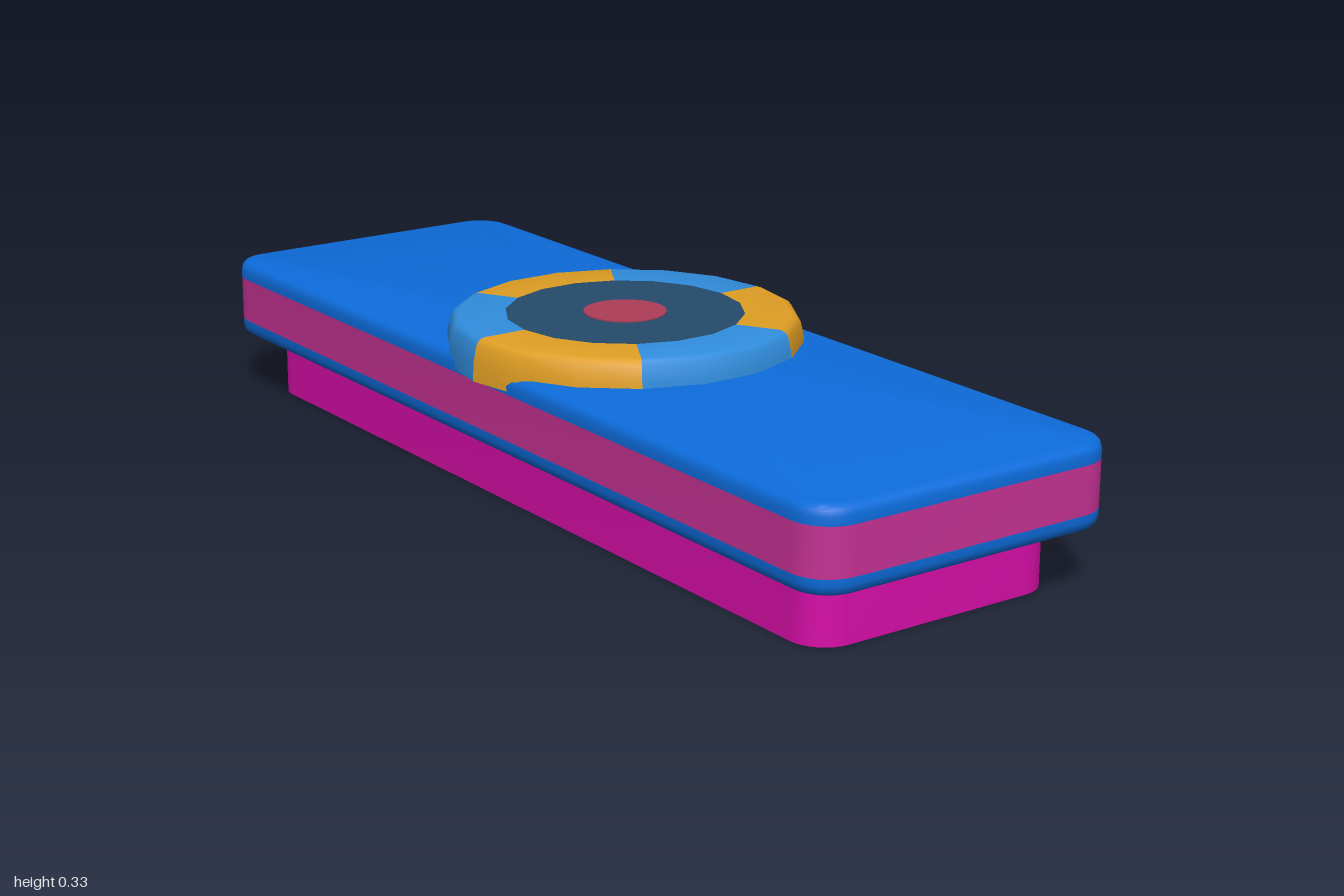
import * as THREE from 'three';
import { toCreasedNormals } from 'three/addons/utils/BufferGeometryUtils.js';

const material = (name, color, side = THREE.FrontSide) => {
  const m = new THREE.MeshStandardMaterial({ color, side });
  m.name = name;
  return m;
};

// Points of a rounded rectangle, anticlockwise from above
function roundedLoop(hx, hz, r, y, steps = 8) {
  const loop = [];
  for (let corner = 0; corner < 4; corner++) {
    const sx = corner === 0 || corner === 3 ? 1 : -1;
    const sz = corner < 2 ? -1 : 1;
    for (let i = 0; i <= steps; i++) {
      const a = (corner + i / steps) * Math.PI / 2;
      loop.push([sx * (hx - r) + r * Math.cos(a), y, sz * (hz - r) - r * Math.sin(a)]);
    }
  }
  return loop;
}

// Skin a stack of [inset, y] sections, with optional end caps
function loft(hx, hz, r, sections, capBottom = false, capTop = false) {
  const loops = sections.map(([d, y]) => roundedLoop(hx - d, hz - d, r - d, y));
  const n = loops[0].length;
  const pos = [];
  const tri = (a, b, c) => pos.push(...a, ...b, ...c);
  for (let s = 0; s < loops.length - 1; s++) {
    for (let i = 0; i < n; i++) {
      const j = (i + 1) % n, lo = loops[s], hi = loops[s + 1];
      tri(lo[i], lo[j], hi[j]);
      tri(lo[i], hi[j], hi[i]);
    }
  }
  const last = loops[loops.length - 1];
  for (let i = 0; i < n; i++) {
    const j = (i + 1) % n;
    if (capBottom) tri([0, sections[0][1], 0], loops[0][j], loops[0][i]);
    if (capTop) tri([0, last[0][1], 0], last[i], last[j]);
  }
  const g = new THREE.BufferGeometry();
  g.setAttribute('position', new THREE.Float32BufferAttribute(pos, 3));
  return toCreasedNormals(g, 0.7);
}

export function createModel() {
  const group = new THREE.Group();
  const blue = material('body blue', 0x0d6cdb);
  const plum = material('band plum', 0xc63294);
  const magenta = material('skirt magenta', 0xd80ea8, THREE.DoubleSide);
  const amber = material('ring amber', 0xdf9e24);
  const sky = material('ring sky blue', 0x318ddd);
  const navy = material('disc navy', 0x254a6b);
  const red = material('hub red', 0xad3c58);
  const add = (name, geometry, mat, y = 0) => {
    const mesh = new THREE.Mesh(geometry, mat);
    mesh.name = name;
    mesh.position.y = y;
    group.add(mesh);
  };

  // Open-bottomed skirt
  add('skirt', loft(0.922, 0.268, 0.07, [[0, 0], [0, 0.125]]), magenta);

  // Slab with rounded rims and a coloured band around it
  const hx = 1, hz = 0.329, r = 0.075;
  add('lowerRim', loft(hx, hz, r,
    [[0.02, 0.123], [0.009, 0.126], [0.003, 0.132], [0, 0.143], [0, 0.156]], true), blue);
  add('sideBand', loft(hx, hz, r, [[0, 0.156], [0, 0.246]]), plum);
  add('upperRim', loft(hx, hz, r,
    [[0, 0.246], [0, 0.262], [0.003, 0.272], [0.009, 0.278], [0.02, 0.281]], false, true), blue);

  // Six-part ring in alternating colours
  const profile = [
    [0.23, 0.252], [0.345, 0.252], [0.343, 0.29], [0.336, 0.32],
    [0.33, 0.329], [0.32, 0.333], [0.23, 0.333],
  ].map(([x, y]) => new THREE.Vector2(x, y));
  for (let k = 0; k < 6; k++) {
    const segment = new THREE.LatheGeometry(profile, 3, k * Math.PI / 3, Math.PI / 3);
    add('ringSegment' + (k + 1), toCreasedNormals(segment, 0.7), k % 2 ? sky : amber);
  }

  // Centre disc and hub
  add('centreDisc', new THREE.CylinderGeometry(0.235, 0.235, 0.08, 36), navy, 0.292);
  add('hub', new THREE.CylinderGeometry(0.08, 0.08, 0.006, 24), red, 0.3315);

  return group;
}
